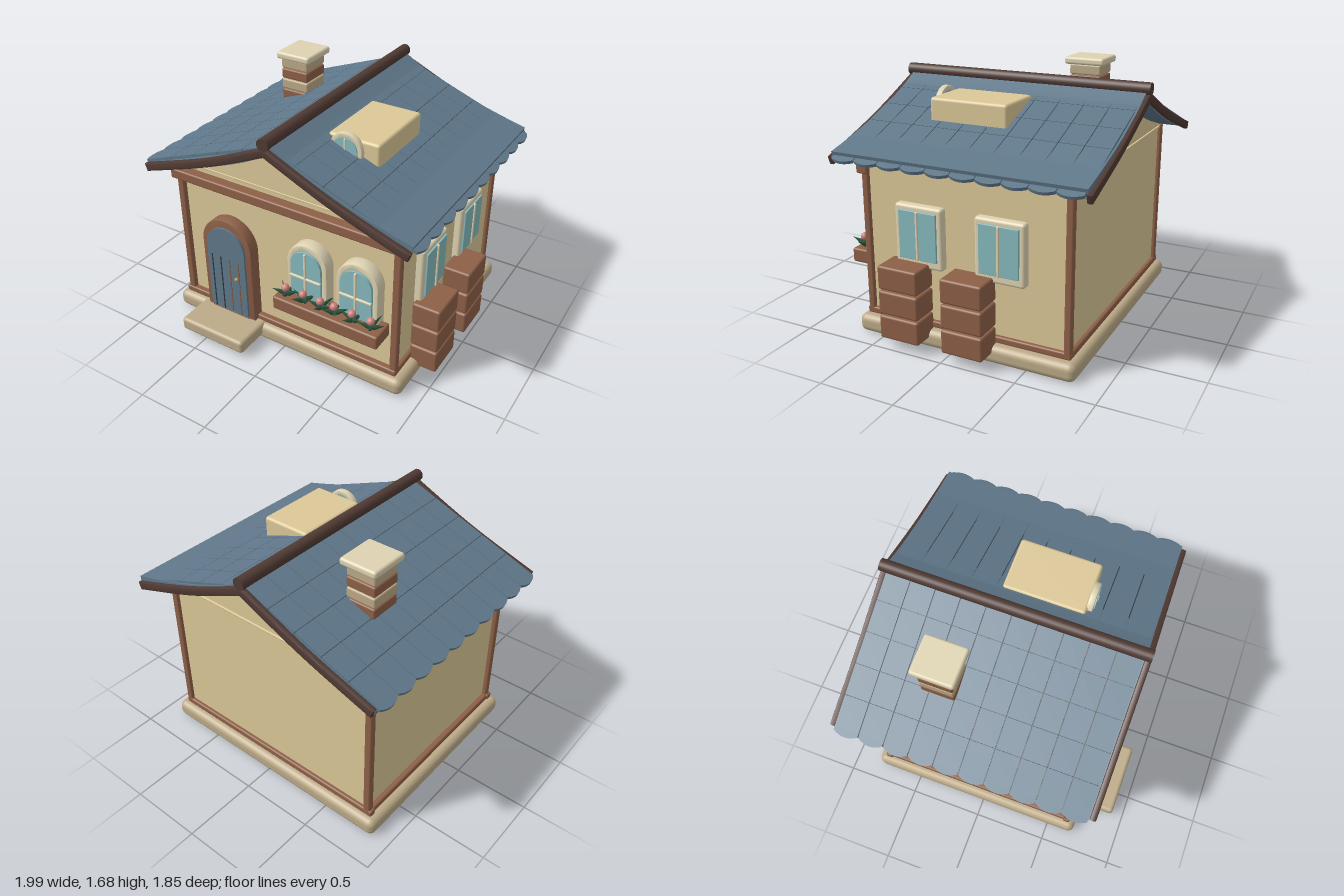
import * as THREE from 'three';
import { RoundedBoxGeometry } from 'three/addons/geometries/RoundedBoxGeometry.js';
import { toCreasedNormals } from 'three/addons/utils/BufferGeometryUtils.js';

const paint = (color) => new THREE.MeshStandardMaterial({ color, side: THREE.DoubleSide });
const WALL = paint(0xdcc898), STONE = paint(0xbcaa88), WOOD = paint(0x8d6047), DARK = paint(0x503a33);
const SLATE = paint(0x60788a), GLASS = paint(0x86babd), CREAM = paint(0xded3b2);
const LEAF = paint(0x2f5a40), PINK = paint(0xcf8280), BRASS = paint(0xb59a50), GROOVE = paint(0x2f3a44);

export function createModel() {
  const house = new THREE.Group();
  house.name = 'cottage';

  const add = (name, geometry, material, x = 0, y = 0, z = 0, parent = house) => {
    const mesh = new THREE.Mesh(geometry, material);
    mesh.name = name;
    mesh.position.set(x, y, z);
    parent.add(mesh);
    return mesh;
  };
  // rounded block given by its limits
  const block = (name, material, x0, x1, y0, y1, z0, z1, r = 0.012) =>
    add(name, new RoundedBoxGeometry(x1 - x0, y1 - y0, z1 - z0, 3, r), material,
      (x0 + x1) / 2, (y0 + y1) / 2, (z0 + z1) / 2);
  const extrude = (shape, depth, bevel = 0) => toCreasedNormals(new THREE.ExtrudeGeometry(shape, {
    depth: depth - 2 * bevel, bevelEnabled: bevel > 0, bevelSize: bevel, bevelOffset: -bevel,
    bevelThickness: bevel, bevelSegments: 2, curveSegments: 20,
  }).translate(0, 0, bevel), 0.6);
  // outline of a round-topped opening
  const arch = (Path, r, bottom, spring) => {
    const p = new Path();
    p.moveTo(-r, bottom);
    p.lineTo(r, bottom);
    p.lineTo(r, spring);
    p.absarc(0, spring, r, 0, Math.PI, false);
    p.closePath();
    return p;
  };
  // curved band of even thickness, seen end-on
  const band = (points, thick, side) => {
    const curve = new THREE.SplineCurve(points.map(([x, y]) => new THREE.Vector2(x, y)));
    const upper = [], lower = [];
    for (let i = 0; i <= 16; i++) {
      const p = curve.getPoint(i / 16), t = curve.getTangent(i / 16);
      upper.push(new THREE.Vector2(side * p.x, p.y));
      lower.unshift(new THREE.Vector2(side * (p.x - -t.y * -thick * -1), p.y - t.x * thick));
    }
    return new THREE.Shape([...upper, ...lower]);
  };

  // base and step
  block('foundation', STONE, -0.89, 0.88, 0, 0.12, -0.82, 0.69, 0.045);
  block('doorStep', STONE, -0.67, -0.165, 0.035, 0.13, 0.55, 0.92, 0.025);

  // walls with both gables
  const wallShape = new THREE.Shape([[-0.8, 0.1], [0.8, 0.1], [0.8, 1.18], [0, 1.5], [-0.8, 1.18]]
    .map(([x, y]) => new THREE.Vector2(x, y)));
  add('walls', extrude(wallShape, 1.36), WALL, 0, 0, -0.75);

  // timber posts, sills and front beam
  for (const x of [-0.805, 0.8])
    for (const z of [0.62, -0.75]) block('cornerPost', WOOD, x - 0.025, x + 0.025, 0.12, 1.18, z - 0.023, z + 0.023);
  for (const z of [0.625, -0.75]) block('baseBoard', WOOD, -0.845, 0.825, 0.12, 0.165, z - 0.025, z + 0.025);
  for (const x of [-0.81, 0.8]) block('sideBaseBoard', WOOD, x - 0.025, x + 0.025, 0.12, 0.165, -0.77, 0.64);
  block('frontBeam', WOOD, -0.845, 0.83, 1.06, 1.13, 0.6, 0.68);
  for (const z of [0.605, -0.753]) block('gableLine', WALL, -0.79, 0.79, 1.155, 1.17, z - 0.008, z + 0.008, 0.004);

  // roof decks, end boards and ridge
  const deckLine = [[0, 1.58], [0.19, 1.475], [0.5, 1.35], [0.77, 1.267], [0.95, 1.22]];
  const boardLine = [[-0.015, 1.565], [0.45, 1.36], [0.95, 1.185]];
  for (const side of [1, -1]) {
    const drop = side > 0 ? 0 : 0.045;
    add('roofDeck', extrude(band(deckLine.map(([x, y]) => [x, y - drop]), 0.03, side), 1.66), SLATE, 0, 0, -0.9);
    for (const z of [0.755, -0.925])
      add('endBoard', extrude(band(boardLine, 0.055, side), 0.04, 0.01), DARK, 0, 0, z);
  }
  add('ridgePole', new THREE.CylinderGeometry(0.04, 0.04, 1.72, 24).rotateX(Math.PI / 2), DARK, 0, 1.58, -0.065);

  // straight rows of tiles, the lowest row with rounded ends
  const COLS = 10, ROWS = 5, pitch = 0.164, run = 0.203;
  const tile = (last) => {
    const s = new THREE.Shape(), w = pitch / 2 - 0.003, l = run - 0.004;
    s.moveTo(0, -w);
    s.lineTo(l, -w);
    if (last) {
      s.lineTo(l + 0.025, -w);
      s.quadraticCurveTo(l + 0.075, 0, l + 0.025, w);
    }
    s.lineTo(l, w);
    s.lineTo(0, w);
    return extrude(s, 0.02).rotateX(-Math.PI / 2).translate(0, -0.02, 0);
  };
  const plainTile = tile(false), eaveTile = tile(true);
  for (const turn of [0, Math.PI]) {
    const slope = new THREE.Group();
    slope.name = 'tiledSlope';
    slope.position.set(0, 1.553, -0.07);
    slope.rotation.set(0, turn, -Math.atan(0.375), 'YXZ');
    for (let r = 0; r < ROWS; r++)
      for (let c = 0; c < COLS; c++)
        add('roofTile', r === ROWS - 1 ? eaveTile : plainTile, SLATE, r * run, 0, (c - (COLS - 1) / 2) * pitch, slope);
    // darker underlay showing in the joints
    add('tileUnderlay', new THREE.BoxGeometry(1.02, 0.008, 1.63), GROOVE, 0.51, -0.013, 0, slope);
    house.add(slope);
  }

  // chimney of alternating courses
  for (let i = 0; i < 5; i++) {
    const top = 1.63 - i * 0.075;
    block('chimneyCourse', i % 2 ? WOOD : STONE, -0.588, -0.38, top - 0.07, top, -0.45, -0.23);
  }
  block('chimneyCore', STONE, -0.575, -0.393, 1.25, 1.62, -0.437, -0.243);
  block('chimneyCap', CREAM, -0.61, -0.35, 1.63, 1.68, -0.48, -0.2, 0.018);

  // dormer with round window
  block('dormer', WALL, 0.145, 0.5, 1.33, 1.508, -0.2, 0.335, 0.02);
  const ring = new THREE.Shape().absarc(0, 0, 0.112, 0, Math.PI * 2);
  ring.holes.push(new THREE.Path().absarc(0, 0, 0.08, 0, Math.PI * 2));
  add('dormerFrame', extrude(ring, 0.04, 0.006), CREAM, 0.285, 1.435, 0.325);
  add('dormerGlass', new THREE.CylinderGeometry(0.083, 0.083, 0.04, 32).rotateX(Math.PI / 2), GLASS, 0.285, 1.435, 0.352);
  block('dormerBar', CREAM, 0.279, 0.291, 1.36, 1.515, 0.36, 0.378, 0.004);

  // door
  const frame = arch(THREE.Shape, 0.195, 0.135, 0.675);
  frame.holes.push(arch(THREE.Path, 0.15, 0.136, 0.665));
  add('doorFrame', extrude(frame, 0.09, 0.008), WOOD, -0.417, 0, 0.6);
  add('door', extrude(arch(THREE.Shape, 0.152, 0.155, 0.665), 0.1), SLATE, -0.417, 0, 0.605);
  for (let i = 0; i < 4; i++)
    add('plankGroove', new THREE.BoxGeometry(0.007, 0.43, 0.006), i < 2 ? GROOVE : WOOD, -0.53 + i * 0.071, 0.375, 0.706);
  add('doorKnob', new THREE.SphereGeometry(0.014, 16, 12), BRASS, -0.333, 0.455, 0.715);

  // arched front windows
  for (const x of [0.213, 0.568]) {
    const trim = arch(THREE.Shape, 0.143, 0.5, 0.767);
    trim.holes.push(arch(THREE.Path, 0.107, 0.54, 0.76));
    add('archWindowFrame', extrude(trim, 0.09, 0.008), CREAM, x, 0, 0.605);
    add('archWindowGlass', extrude(arch(THREE.Shape, 0.109, 0.53, 0.76), 0.1), GLASS, x, 0, 0.61);
    block('windowBarUpright', CREAM, x - 0.008, x + 0.008, 0.53, 0.865, 0.7, 0.722, 0.005);
    block('windowBarCross', CREAM, x - 0.112, x + 0.112, 0.672, 0.688, 0.7, 0.722, 0.005);
  }

  // flower box with leaves and blossoms
  block('flowerBox', WOOD, 0.015, 0.765, 0.425, 0.52, 0.63, 0.795, 0.014);
  const leafShape = new THREE.ConeGeometry(0.026, 0.1, 4).translate(0, 0.05, 0).scale(1, 1, 0.45);
  [0.085, 0.215, 0.34, 0.44, 0.565, 0.695].forEach((x, i) => {
    for (let k = 0; k < 5; k++) {
      const leaf = add('leaf', leafShape, LEAF, x, 0.535, 0.735);
      leaf.rotation.set(0, k * 1.257 + i * 0.5, -1.1, 'YXZ');
    }
    add('flowerStem', new THREE.CylinderGeometry(0.006, 0.006, 0.08, 8), LEAF, x, 0.545, 0.745);
    add('blossom', new THREE.SphereGeometry(0.026, 16, 12), PINK, x, 0.585, 0.745);
  });

  // side windows and stacked blocks on the left side
  for (const z of [0.225, -0.325]) {
    block('sideWindowFrame', CREAM, 0.77, 0.85, 0.52, 0.92, z - 0.165, z + 0.165, 0.02);
    block('sideWindowGlass', GLASS, 0.8, 0.862, 0.575, 0.887, z - 0.131, z + 0.131, 0.004);
    block('sideWindowBar', CREAM, 0.84, 0.872, 0.575, 0.887, z - 0.008, z + 0.008, 0.005);
  }
  for (const z of [0.295, -0.145])
    for (let i = 0; i < 3; i++)
      block('stackedBlock', WOOD, 0.81, 1, 0.07 + i * 0.165, 0.225 + i * 0.165, z - 0.14, z + 0.14, 0.016);

  return house;
}
